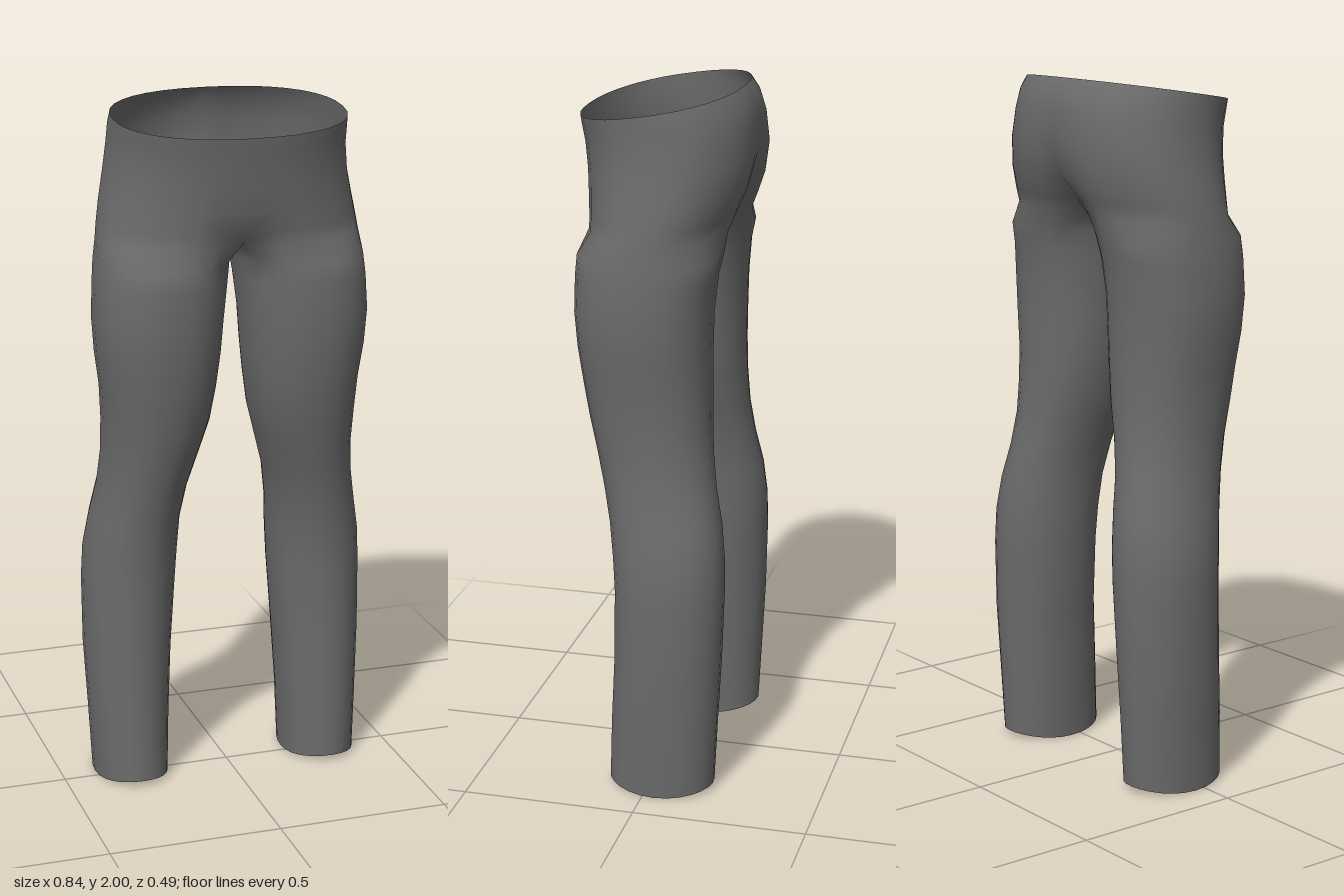
import * as THREE from 'three';
import { mergeVertices } from 'three/addons/utils/BufferGeometryUtils.js';

const ARC = 18;   // steps round the outside of a leg, front seam to back seam
const INNER = 8;  // steps round the inside of a leg, back seam to front seam
const pow = (v, e) => Math.sign(v) * Math.pow(Math.abs(v), e);

// Hip rows, waist to crotch: y, half width, front z, back z, front dent, back dent, tilt
const HIPS = [
  [1.965, 0.335, 0.25, -0.195, 0, 0, 0.16],
  [1.93, 0.337, 0.246, -0.22, 0, 0, 0.14],
  [1.88, 0.338, 0.238, -0.238, 0, 0.008, 0.11],
  [1.8, 0.347, 0.23, -0.248, 0, 0.016, 0.07],
  [1.72, 0.362, 0.225, -0.235, 0.008, 0.035, 0.03],
  [1.66, 0.373, 0.221, -0.212, 0.028, 0.065, 0],
  [1.62, 0.379, 0.22, -0.196, 0.06, 0.09, 0],
];

// Leg rows, thigh to hem: y, inner x, outer x, front z, back z
const LEGS = [
  [1.56, 0.012, 0.386, 0.223, -0.178],
  [1.5, 0.02, 0.392, 0.227, -0.165],
  [1.4, 0.032, 0.397, 0.228, -0.156],
  [1.3, 0.04, 0.39, 0.22, -0.154],
  [1.2, 0.052, 0.376, 0.206, -0.154],
  [1.1, 0.068, 0.37, 0.188, -0.156],
  [1.0, 0.095, 0.37, 0.165, -0.163],
  [0.9, 0.124, 0.378, 0.141, -0.177],
  [0.8, 0.14, 0.397, 0.121, -0.198],
  [0.7, 0.145, 0.415, 0.109, -0.208],
  [0.6, 0.151, 0.42, 0.103, -0.21],
  [0.4, 0.166, 0.419, 0.104, -0.205],
  [0.2, 0.178, 0.409, 0.114, -0.195],
  [0, 0.185, 0.4, 0.12, -0.186],
];

// Half ring of the hips from front centre round the side to back centre
function hipRing([y, rx, zf, zb, dentF, dentB, tilt]) {
  const ring = [];
  for (let i = 0; i <= ARC; i++) {
    const a = (Math.PI * i) / ARC;
    const x = i % ARC === 0 ? 0 : rx * pow(Math.sin(a), 0.88);
    let z = (zf + zb) / 2 + ((zf - zb) / 2) * pow(Math.cos(a), 0.88);
    z -= Math.sign(Math.cos(a)) * (a < Math.PI / 2 ? dentF : dentB) * Math.exp(-((x / 0.075) ** 2));
    ring.push([x, y - tilt * z, z]);
  }
  return ring;
}

// Closed ring of one leg, starting at the front of the inner thigh
function legRing([y, xi, xo, zf, zb]) {
  const ring = [], e = y > 1 ? 0.9 : 0.96;
  for (let i = 0; i < ARC + INNER; i++) {
    const deg = i <= ARC ? -40 + (260 * i) / ARC : 220 + (100 * (i - ARC)) / INNER;
    const a = THREE.MathUtils.degToRad(deg);
    const c = pow(Math.cos(a), e);
    ring.push([
      (xi + xo) / 2 + ((xo - xi) / 2) * pow(Math.sin(a), e),
      y === 0 ? 0.018 * c * c : y,
      (zf + zb) / 2 + ((zf - zb) / 2) * c,
    ]);
  }
  return ring;
}

function trouserGeometry() {
  const positions = [];
  const hips = HIPS.map(hipRing);
  const legs = LEGS.map(legRing);

  // The lowest hip ring is closed by the crotch seam to begin the leg
  const top = hips[hips.length - 1].slice();
  const front = top[0], back = top[ARC];
  for (let j = 1; j < INNER; j++) {
    const t = j / INNER;
    top.push([0, 1.62 - 0.02 * Math.sin(Math.PI * t), back[2] + (front[2] - back[2]) * t]);
  }
  legs.unshift(top);

  // Joins rings into quads for one side of the body
  const loft = (rings, closed, side) => {
    for (let r = 0; r + 1 < rings.length; r++) {
      const n = rings[r].length;
      for (let i = 0; i < (closed ? n : n - 1); i++) {
        const k = (i + 1) % n;
        const a = rings[r][i], b = rings[r][k], c = rings[r + 1][i], d = rings[r + 1][k];
        const corners = side > 0 ? [a, c, b, b, c, d] : [a, b, c, b, d, c];
        for (const p of corners) positions.push(p[0] * side, p[1], p[2]);
      }
    }
  };
  for (const side of [1, -1]) {
    loft(hips, false, side);
    loft(legs, true, side);
  }

  // Welding both sides gives smooth normals across the centre seam
  const soup = new THREE.BufferGeometry();
  soup.setAttribute('position', new THREE.Float32BufferAttribute(positions, 3));
  const geometry = mergeVertices(soup, 1e-4);
  geometry.computeVertexNormals();
  return geometry;
}

export function createModel() {
  const model = new THREE.Group();
  model.name = 'leggings';
  const greyCloth = new THREE.MeshStandardMaterial({ color: 0x6b6b6b, side: THREE.DoubleSide });
  greyCloth.name = 'grey cloth';
  const trousers = new THREE.Mesh(trouserGeometry(), greyCloth);
  trousers.name = 'trousers';
  model.add(trousers);
  return model;
}
